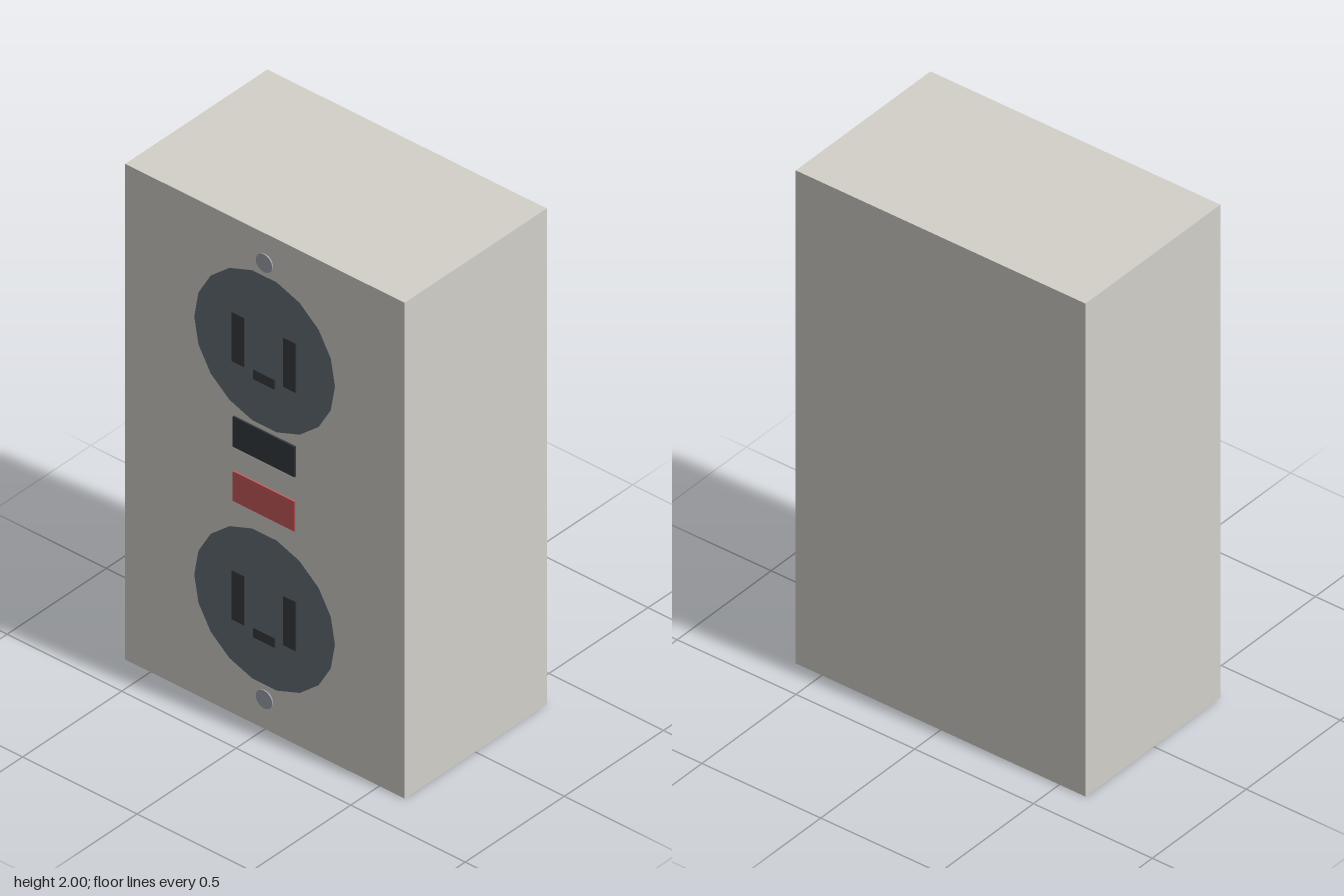
import * as THREE from 'three';

const BACK = -0.362;
const FACE = 0.355;

const paint = (color) => new THREE.MeshStandardMaterial({ color, flatShading: true });

export function createModel() {
  const model = new THREE.Group();
  model.name = 'wallSocket';

  const ivory = paint(0xd2d0c9);
  const slate = paint(0x656e77);
  const dark = paint(0x363a3d);
  const black = paint(0x343a3f);
  const red = paint(0xc85a5a);
  const steel = paint(0x9ca2ab);

  function add(name, geometry, material, x, y, z) {
    const mesh = new THREE.Mesh(geometry, material);
    mesh.name = name;
    mesh.position.set(x, y, z);
    model.add(mesh);
  }

  // Block sunk slightly into the front face, standing proud of it by rise
  function block(name, material, x, y, w, h, rise) {
    const depth = rise + 0.02;
    add(name, new THREE.BoxGeometry(w, h, depth), material, x, y, FACE + rise - depth / 2);
  }

  // Many-sided disc facing +z
  function disc(name, material, y, radius, sides, rise) {
    const depth = rise + 0.02;
    const geometry = new THREE.CylinderGeometry(radius, radius, depth, sides);
    geometry.rotateX(Math.PI / 2);
    geometry.rotateZ(Math.PI / 2);
    add(name, geometry, material, 0, y, FACE + rise - depth / 2);
  }

  // Housing
  add('housing', new THREE.BoxGeometry(1.22, 2, FACE - BACK), ivory, 0, 1, (FACE + BACK) / 2);

  // Two outlets, each with two blade slots and a ground slot
  for (const [label, y] of [['upper', 1.525], ['lower', 0.483]]) {
    disc(label + 'OutletFace', slate, y, 0.307, 18, 0.002);
    block(label + 'RightSlot', dark, -0.113, y - 0.002, 0.055, 0.198, 0.007);
    block(label + 'LeftSlot', dark, 0.113, y - 0.002, 0.055, 0.198, 0.007);
    block(label + 'GroundSlot', dark, 0, y - 0.111, 0.094, 0.038, 0.007);
  }

  // Test and reset buttons
  block('upperButton', black, 0, 1.142, 0.27, 0.122, 0.007);
  block('lowerButton', red, 0, 0.922, 0.27, 0.12, 0.007);

  // Mounting screws
  disc('upperScrew', steel, 1.882, 0.036, 16, 0.005);
  disc('lowerScrew', steel, 0.122, 0.036, 16, 0.005);

  return model;
}
